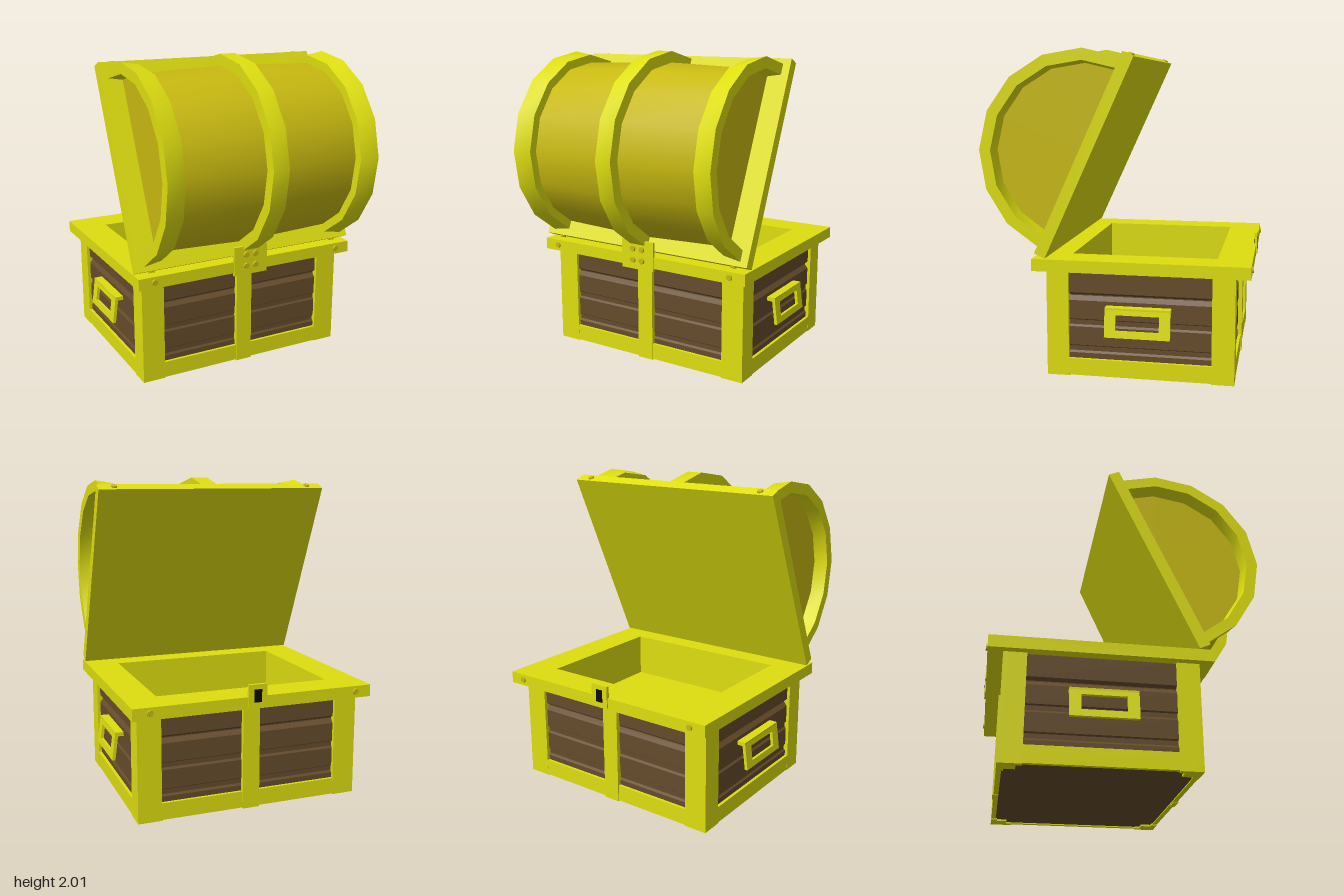
import * as THREE from 'three';
import { toCreasedNormals } from 'three/addons/utils/BufferGeometryUtils.js';

const mat = (color, extra = {}) => new THREE.MeshStandardMaterial({ color, ...extra });
const V = (x, y) => new THREE.Vector2(x, y);

export function createModel() {
  const gold = mat(0xdede10), domeGold = mat(0xc8b910), wood = mat(0x664c2c), black = mat(0x0a0a0a);
  const model = new THREE.Group();
  model.name = 'treasureChest';

  const add = (parent, name, geo, material, x = 0, y = 0, z = 0) => {
    const m = new THREE.Mesh(geo, material);
    m.name = name;
    m.position.set(x, y, z);
    parent.add(m);
    return m;
  };
  // Box given by its min and max corners
  const box = (parent, name, material, x0, x1, y0, y1, z0, z1) =>
    add(parent, name, new THREE.BoxGeometry(x1 - x0, y1 - y0, z1 - z0), material,
      (x0 + x1) / 2, (y0 + y1) / 2, (z0 + z1) / 2);
  // Rectangular frame in the xy plane, extruded along z
  const frameGeo = (w, h, holeW, holeH, depth) => {
    const rect = (T, a, b) => new T([V(-a / 2, -b / 2), V(a / 2, -b / 2), V(a / 2, b / 2), V(-a / 2, b / 2)]);
    const s = rect(THREE.Shape, w, h);
    s.holes.push(rect(THREE.Path, holeW, holeH));
    return new THREE.ExtrudeGeometry(s, { depth, bevelEnabled: false });
  };
  // Rivet whose axis runs along z
  const rivet = (parent, x, y, z, r = 0.023) => {
    const g = new THREE.CylinderGeometry(r * 0.8, r, 0.02, 8).rotateX(z > -0.5 ? Math.PI / 2 : -Math.PI / 2);
    add(parent, 'rivet', g, domeGold, x, y, z);
  };

  // ---------- Base ----------
  const base = new THREE.Group();
  base.name = 'base';
  model.add(base);
  const CZ = -0.165, HX = 0.72, HZ = 0.575;
  const body = new THREE.Group();
  body.name = 'body';
  body.position.z = CZ;
  base.add(body);

  box(body, 'woodCore', wood, -0.69, 0.69, 0.012, 0.44, -0.545, 0.545);

  // Plank walls with V grooves, upright profile swept sideways
  const profile = [V(0, 0.05)];
  for (const y of [0.17, 0.335, 0.5]) {
    profile.push(V(0, y - 0.027), V(-0.022, y), V(-0.022, y + 0.006), V(0, y + 0.022));
  }
  profile.push(V(0, 0.67), V(-0.05, 0.67), V(-0.05, 0.05));
  const plankWall = (width) => new THREE.ExtrudeGeometry(new THREE.Shape(profile), { depth: width, bevelEnabled: false })
    .translate(0, 0, -width / 2);
  for (const s of [-1, 1]) {
    const side = add(body, 'sidePlanks', plankWall(1.0), wood, s * (HX - 0.02));
    side.rotation.y = s > 0 ? 0 : Math.PI;
    const long = add(body, 'longPlanks', plankWall(1.3), wood, 0, 0, s * (HZ - 0.02));
    long.rotation.y = -s * Math.PI / 2;

    // Bottom rails and centre straps
    box(body, 'longRail', gold, -0.7, 0.7, 0.005, 0.11, s * HZ - 0.015 - s * 0.016, s * HZ + 0.015 - s * 0.016);
    box(body, 'sideRail', gold, s * HX - 0.015 - s * 0.016, s * HX + 0.015 - s * 0.016, 0.005, 0.11, -0.55, 0.55);
    box(body, 'centreStrap', gold, -0.055, 0.055, 0, 0.67, s * (HZ - 0.01) - 0.016, s * (HZ - 0.01) + 0.016);
    // Corner posts made of two slats meeting round a small foot
    for (const t of [-1, 1]) {
      const post = new THREE.Group();
      post.name = 'cornerPost';
      post.scale.set(1, 1, 1);
      body.add(post);
      const lo = (a, b) => [Math.min(a, b), Math.max(a, b)];
      box(post, 'postFace', gold, ...lo(s * 0.572, s * HX), 0, 0.67, ...lo(t * (HZ - 0.04), t * HZ));
      box(post, 'postSide', gold, ...lo(s * (HX - 0.04), s * HX), 0, 0.67, ...lo(t * 0.438, t * (HZ - 0.04)));
      box(post, 'foot', gold, ...lo(s * 0.61, s * 0.69), 0, 0.03, ...lo(t * 0.47, t * 0.55));
    }
  }

  // Rim and hollow lining
  const rim = add(base, 'rim', frameGeo(1.54, 1.32, 1.13, 0.9, 0.075), gold, 0, 0.66, -0.17);
  rim.rotation.x = -Math.PI / 2;
  const lining = add(base, 'lining', frameGeo(1.26, 1.03, 1.13, 0.9, 0.225), gold, 0, 0.44, -0.17);
  lining.rotation.x = -Math.PI / 2;
  box(base, 'cavityFloor', gold, -0.6, 0.6, 0.43, 0.45, -0.65, 0.31);
  for (const x of [-0.665, 0.665]) {
    rivet(base, x, 0.7, 0.49);
    rivet(base, x, 0.7, -0.83);
  }

  // Front hinge plate with four rivets
  const hinge = new THREE.Group();
  hinge.name = 'hingePlate';
  base.add(hinge);
  box(hinge, 'plate', gold, -0.12, 0.12, 0.64, 0.83, 0.478, 0.497);
  for (const x of [-0.034, 0.034]) for (const y of [0.7, 0.775]) rivet(hinge, x, y, 0.498, 0.023);

  // Rear hasp with slot
  const hasp = new THREE.Group();
  hasp.name = 'hasp';
  base.add(hasp);
  box(hasp, 'haspPlate', gold, -0.06, 0.06, 0.67, 0.81, -0.838, -0.818);
  box(hasp, 'slot', black, -0.024, 0.024, 0.70, 0.78, -0.84, -0.816);

  // Side handles: a bracket and a slanting open frame
  for (const s of [-1, 1]) {
    const handle = new THREE.Group();
    handle.name = s > 0 ? 'leftHandle' : 'rightHandle';
    base.add(handle);
    box(handle, 'bracket', gold, s > 0 ? 0.69 : -0.755, s > 0 ? 0.755 : -0.69, 0.425, 0.45, -0.36, 0.04);
    const g = frameGeo(0.4, 0.18, 0.265, 0.095, 0.02).translate(0, 0, -0.01).rotateY(Math.PI / 2);
    const ring = add(handle, 'grip', g, gold, s * 0.755, 0.36, -0.16);
    ring.rotation.z = s * 0.13;
  }

  // ---------- Lid, hinged open at the front ----------
  const lid = new THREE.Group();
  lid.name = 'lid';
  lid.position.set(0, 0.74, 0.405);
  lid.rotation.x = 1.143;
  model.add(lid);
  box(lid, 'lidPlate', gold, -0.77, 0.77, 0, 0.072, -1.315, 0);
  for (const x of [-0.665, 0.665]) {
    rivet(lid, x, 0.036, 0);
    rivet(lid, x, 0.036, -1.315);
  }

  // Half-round sweep of a (radius, x) profile about the x axis, eight facets
  const arch = (name, pts, material) => {
    const g = new THREE.LatheGeometry(pts.map(([r, x]) => V(r, x)), 8, Math.PI, Math.PI).rotateZ(-Math.PI / 2);
    add(lid, name, toCreasedNormals(g, 0.6), material, 0, 0.07, -0.655);
  };
  arch('barrel', [[0, -0.63], [0.55, -0.63], [0.572, 0], [0.55, 0.63], [0, 0.63]], domeGold);
  arch('centreBand', [[0.55, -0.055], [0.642, -0.055], [0.642, 0.055], [0.55, 0.055]], gold);
  arch('leftBand', [[0.535, 0.6], [0.605, 0.6], [0.625, 0.72], [0.555, 0.72], [0.535, 0.6]], gold);
  arch('rightBand', [[0.535, -0.6], [0.555, -0.72], [0.625, -0.72], [0.605, -0.6], [0.535, -0.6]], gold);

  return model;
}
